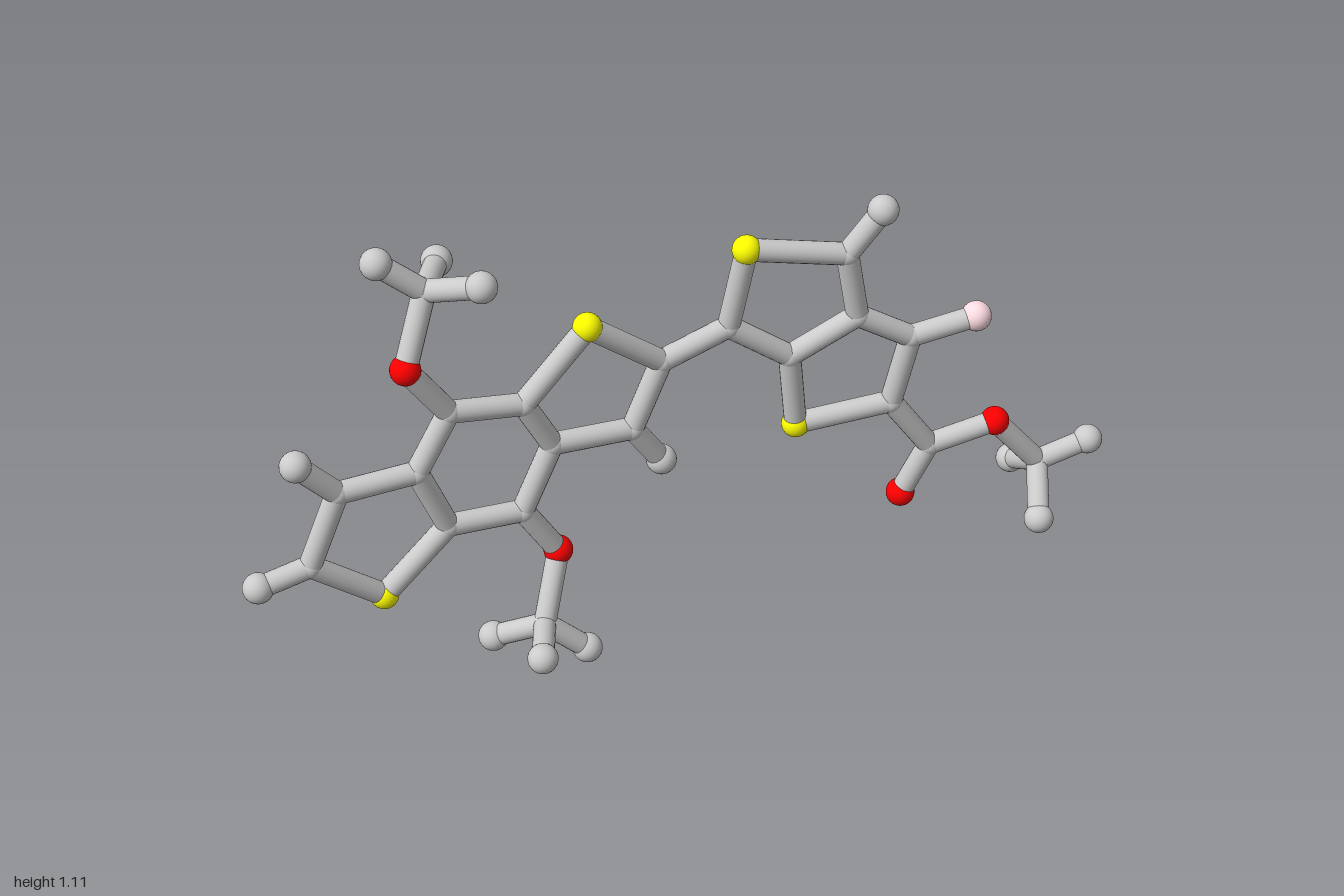
import * as THREE from 'three';

const BOND_R = 0.025;
const material = (color) => new THREE.MeshStandardMaterial({ color });
const grey = material(0xcccccc);

// Kinds of atom: mesh name, radius, material
const KINDS = {
  C: ['carbonJoint', 0.027, grey],
  H: ['hydrogenBall', 0.034, grey],
  S: ['sulfurBall', 0.032, material(0xffff00)],
  O: ['oxygenBall', 0.033, material(0xff0000)],
  F: ['fluorineBall', 0.034, material(0xffdde4)],
};

// Each half of the molecule is flat and lies on its own slightly tilted plane
const leftPlane = (x, y) => -0.085 - 0.066 * x + 0.07 * y;
const rightPlane = (x, y) => -0.136 + 0.126 * x + 0.109 * y;

// Atoms: [x, y, optional z off the plane]; the first letter of the key is the kind
const leftAtoms = {
  H1: [-0.965, 0.365], C1: [-0.85, 0.39], C2: [-0.78, 0.57], H2: [-0.865, 0.665],
  C3: [-0.605, 0.575], C4: [-0.54, 0.41], S1: [-0.69, 0.26],
  C5: [-0.53, 0.715], C6: [-0.365, 0.69], C7: [-0.3, 0.565], C8: [-0.37, 0.4],
  S2: [-0.22, 0.853], C9: [-0.05, 0.72], C10: [-0.115, 0.555], H3: [-0.045, 0.45],
  // upper side group
  O1: [-0.62, 0.848], C11: [-0.56, 1.0, -0.03],
  H4: [-0.655, 1.08, -0.035], H5: [-0.46, 1.035, 0.05], H6: [-0.5, 0.988, -0.157],
  // lower side group
  O2: [-0.29, 0.27, -0.04], C12: [-0.345, 0.125, 0.025],
  H7: [-0.447, 0.07, -0.038], H8: [-0.25, 0.038, 0.032], H9: [-0.39, 0.14, 0.16],
};
const rightAtoms = {
  C13: [0.105, 0.77], S3: [0.135, 0.97], C14: [0.355, 0.93], H10: [0.425, 1.035],
  C15: [0.39, 0.76], C16: [0.245, 0.67], S4: [0.27, 0.475], C17: [0.485, 0.505],
  C18: [0.515, 0.685], F1: [0.66, 0.72],
  // end side group
  C19: [0.585, 0.365], O3: [0.53, 0.23], O4: [0.735, 0.41], C20: [0.85, 0.275],
  H11: [0.965, 0.32, 0.02], H12: [0.815, 0.185, 0.1], H13: [0.84, 0.207, -0.115],
};

// Chains of bonded atoms
const chains = {
  ring: [
    'C1 C2 C3 C4 S1 C1', 'C3 C5 C6 C7 C8 C4', 'C6 S2 C9 C10 C7',
    'C13 S3 C14 C15 C16 C13', 'C16 S4 C17 C18 C15',
  ],
  bridge: ['C9 C13'],
  branch: [
    'H1 C1', 'H2 C2', 'H3 C10', 'H10 C14', 'F1 C18',
    'C5 O1 C11 H4', 'H5 C11 H6', 'C8 O2 C12 H7', 'H8 C12 H9',
    'C17 C19 O3', 'C19 O4 C20 H11', 'H12 C20 H13',
  ],
};

export function createModel() {
  const model = new THREE.Group();
  model.name = 'molecule';
  const atoms = new THREE.Group();
  atoms.name = 'atoms';
  const bonds = new THREE.Group();
  bonds.name = 'bonds';
  model.add(atoms, bonds);

  // Balls
  const ball = new THREE.SphereGeometry(1, 24, 16);
  const positions = {};
  for (const [table, plane] of [[leftAtoms, leftPlane], [rightAtoms, rightPlane]]) {
    for (const [key, [x, y, z = plane(x, y)]] of Object.entries(table)) {
      const [name, radius, mat] = KINDS[key[0]];
      const mesh = new THREE.Mesh(ball, mat);
      mesh.name = name;
      mesh.position.set(x, y, z);
      mesh.scale.setScalar(radius);
      atoms.add(mesh);
      positions[key] = mesh.position;
    }
  }

  // Sticks
  const stick = new THREE.CylinderGeometry(BOND_R, BOND_R, 1, 20, 1, true);
  const up = new THREE.Vector3(0, 1, 0);
  for (const [kind, list] of Object.entries(chains)) {
    for (const chain of list) {
      const keys = chain.split(' ');
      for (let i = 1; i < keys.length; i++) {
        const a = positions[keys[i - 1]];
        const b = positions[keys[i]];
        const along = b.clone().sub(a);
        const mesh = new THREE.Mesh(stick, grey);
        mesh.name = kind + 'Bond';
        mesh.position.copy(a).add(b).multiplyScalar(0.5);
        mesh.scale.y = along.length();
        mesh.quaternion.setFromUnitVectors(up, along.normalize());
        bonds.add(mesh);
      }
    }
  }
  return model;
}
